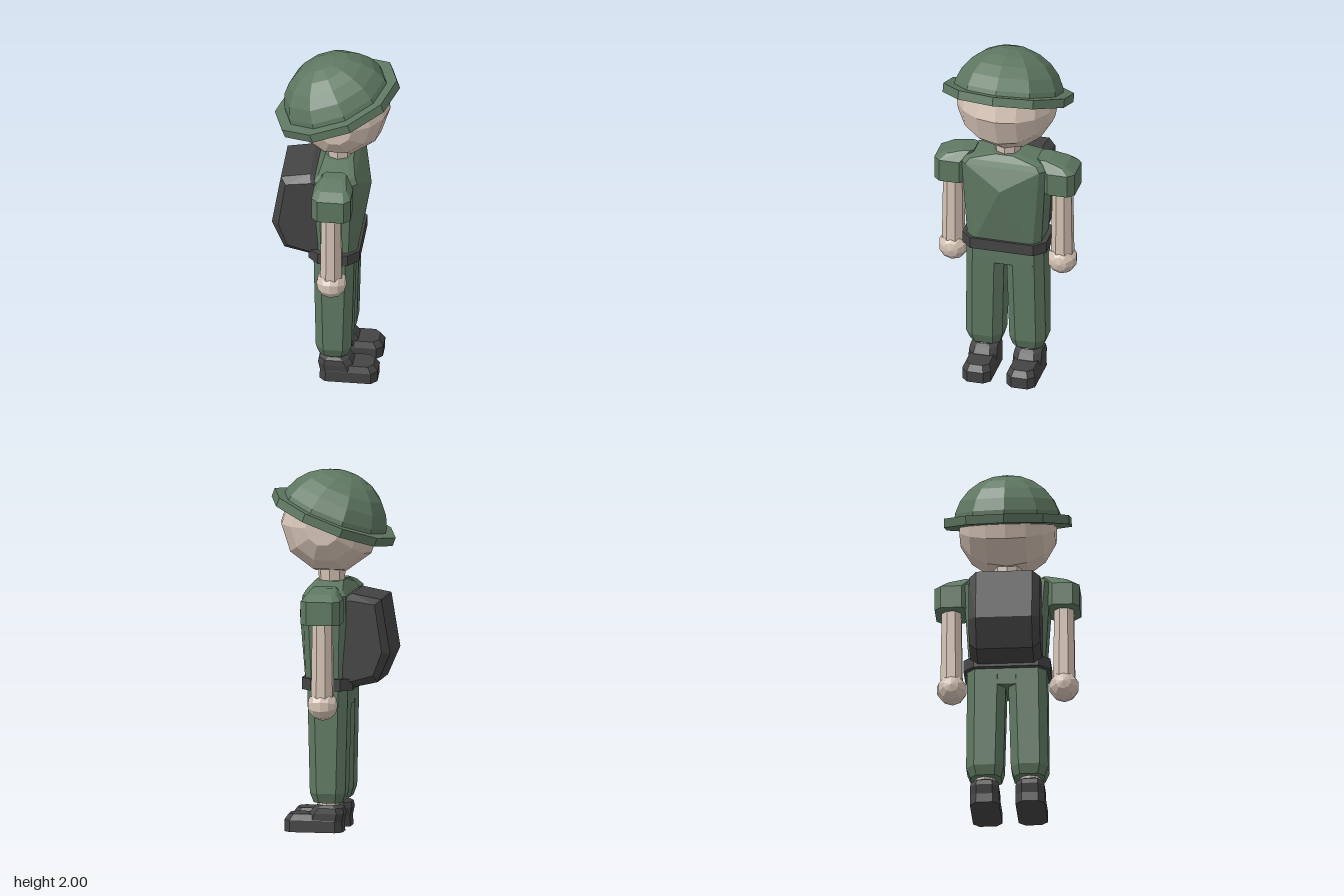
import * as THREE from 'three';
import { ConvexGeometry } from 'three/addons/geometries/ConvexGeometry.js';

const paint = (color) => new THREE.MeshStandardMaterial({ color, flatShading: true, roughness: 0.9 });

export function createModel() {
  const green = paint(0x5f7862);
  const skin = paint(0xd6c4b6);
  const dark = paint(0x444444);
  const root = new THREE.Group();

  const add = (name, geometry, material, x = 0, y = 0, z = 0, parent = root) => {
    const mesh = new THREE.Mesh(geometry, material);
    mesh.name = name;
    mesh.position.set(x, y, z);
    parent.add(mesh);
    return mesh;
  };

  // Rectangle with cut corners at height y
  const ring = (y, x0, x1, z0, z1, c) => [
    [x0 + c, z0], [x1 - c, z0], [x1, z0 + c], [x1, z1 - c],
    [x1 - c, z1], [x0 + c, z1], [x0, z1 - c], [x0, z0 + c],
  ].map(([x, z]) => new THREE.Vector3(x, y, z));

  // Faceted solid wrapped around cut-corner rings and extra points; side mirrors z
  const solid = (rings, extra = [], side = 1) => {
    const points = rings.flatMap((r) => ring(...r));
    extra.forEach((p) => points.push(new THREE.Vector3(...p)));
    points.forEach((p) => { p.z *= side; });
    return new ConvexGeometry(points);
  };

  // Head: ten-sided ball with flattened sides
  const headProfile = [new THREE.Vector2(0, -0.263)];
  for (let i = 0; i <= 6; i++) {
    const a = THREE.MathUtils.degToRad(-70 + (i * 140) / 6);
    headProfile.push(new THREE.Vector2(0.28 * Math.cos(a), 0.28 * Math.sin(a)));
  }
  headProfile.push(new THREE.Vector2(0, 0.263));
  const headGeometry = new THREE.LatheGeometry(headProfile, 10);
  headGeometry.rotateY(Math.PI / 2).rotateX(Math.PI / 2);
  add('head', headGeometry, skin, 0.01, 1.7, 0);
  add('neck', new THREE.CylinderGeometry(0.08, 0.07, 0.14, 8), skin, 0.005, 1.42, 0);

  // Helmet: tilted dome and brim
  const helmet = new THREE.Group();
  helmet.name = 'helmet';
  helmet.position.set(0.003, 1.71, 0);
  helmet.rotation.z = THREE.MathUtils.degToRad(21);
  root.add(helmet);
  const dome = new THREE.SphereGeometry(0.31, 10, 6, 0, Math.PI * 2, 0, Math.PI / 2);
  dome.scale(1, 0.92, 1);
  add('helmetDome', dome, green, 0, 0, 0, helmet);
  const brim = new THREE.CylinderGeometry(0.363, 0.363, 0.05, 10);
  brim.rotateY(Math.PI / 2);
  add('helmetBrim', brim, green, 0, 0.022, 0, helmet);

  // Torso with a pointed chest and sloping shoulders
  add('torso', solid([
    [0.82, -0.11, 0.12, -0.21, 0.21, 0.04],
    [1.32, -0.11, 0.13, -0.24, 0.24, 0.03],
    [1.35, -0.09, 0.115, -0.22, 0.22, 0.03],
    [1.385, -0.07, 0.09, -0.08, 0.08, 0.03],
  ], [[0.185, 1.2, 0]]), green);

  // Belt and hips
  add('belt', solid([
    [0.795, -0.145, 0.14, -0.24, 0.24, 0.06],
    [0.86, -0.145, 0.14, -0.24, 0.24, 0.06],
  ]), dark);
  add('hips', solid([
    [0.7, -0.113, 0.108, -0.21, 0.21, 0.045],
    [0.82, -0.116, 0.11, -0.22, 0.22, 0.045],
  ]), green);

  // Backpack
  const packPoints = [];
  const packOuter = [[-0.35, 1], [-0.3, 1.3], [-0.14, 1.33], [-0.09, 1.31], [-0.28, 0.84], [-0.15, 0.81], [-0.09, 0.82]];
  const packInner = [[-0.31, 1.01], [-0.27, 1.275], [-0.13, 1.295], [-0.09, 1.28], [-0.26, 0.88], [-0.14, 0.845], [-0.09, 0.85]];
  for (const s of [-1, 1]) {
    packOuter.forEach(([x, y]) => packPoints.push([x, y, s * 0.155]));
    packInner.forEach(([x, y]) => packPoints.push([x, y, s * 0.197]));
  }
  add('backpack', solid([], packPoints), dark);

  // Limbs, mirrored
  for (const [side, label] of [[1, 'left'], [-1, 'right']]) {
    add(label + 'Sleeve', solid([
      [1.18, -0.105, 0.112, 0.215, 0.4, 0.035],
      [1.31, -0.105, 0.112, 0.215, 0.4, 0.035],
      [1.345, -0.075, 0.085, 0.2, 0.345, 0.02],
      [1.37, -0.06, 0.07, 0.18, 0.25, 0.02],
    ], [], side), green);

    const arm = new THREE.CylinderGeometry(0.058, 0.065, 0.44, 8);
    arm.rotateY(Math.PI / 8);
    add(label + 'Arm', arm, skin, 0, 0.99, side * 0.311);

    const hand = new THREE.SphereGeometry(0.085, 10, 6);
    hand.rotateZ(Math.PI / 2);
    add(label + 'Hand', hand, skin, 0, 0.725, side * 0.31);

    add(label + 'TrouserLeg', solid([
      [0.165, -0.085, 0.075, 0.035, 0.205, 0.035],
      [0.22, -0.103, 0.095, 0.02, 0.227, 0.045],
      [0.8, -0.116, 0.11, 0.005, 0.22, 0.045],
    ], [], side), green);

    add(label + 'Ankle', new THREE.CylinderGeometry(0.062, 0.062, 0.1, 8), skin, 0, 0.155, side * 0.125);

    // Boot: low foot plus ankle cuff
    add(label + 'BootFoot', solid([
      [0, -0.085, 0.238, 0.045, 0.207, 0.035],
      [0.065, -0.08, 0.24, 0.045, 0.207, 0.035],
      [0.1, -0.075, 0.215, 0.06, 0.192, 0.03],
    ], [], side), dark);
    add(label + 'BootCuff', solid([
      [0.05, -0.08, 0.12, 0.046, 0.206, 0.035],
      [0.105, -0.092, 0.1, 0.046, 0.206, 0.035],
      [0.135, -0.085, 0.08, 0.05, 0.202, 0.035],
      [0.15, -0.06, 0.06, 0.065, 0.187, 0.03],
    ], [], side), dark);
  }
  return root;
}
